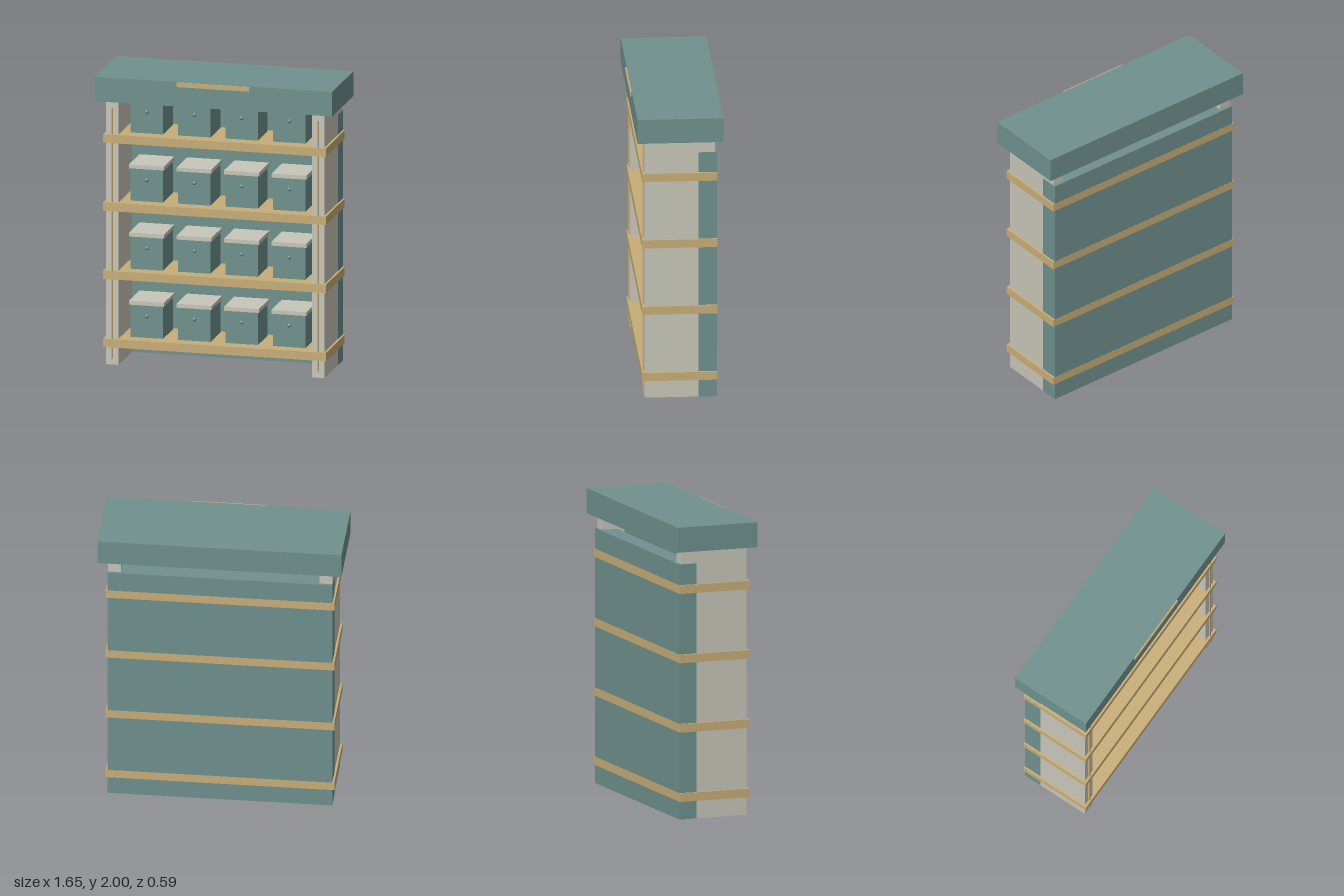
import * as THREE from 'three';

const teal = new THREE.MeshStandardMaterial({ name: 'teal paint', color: 0x6f918e });
const tan = new THREE.MeshStandardMaterial({ name: 'tan wood', color: 0xc8ae78 });
const cream = new THREE.MeshStandardMaterial({ name: 'cream paint', color: 0xc8c6b9 });

// Box given by its lower and upper limits on each axis
function slab(name, material, [x0, x1], [y0, y1], [z0, z1]) {
  const mesh = new THREE.Mesh(new THREE.BoxGeometry(x1 - x0, y1 - y0, z1 - z0), material);
  mesh.position.set((x0 + x1) / 2, (y0 + y1) / 2, (z0 + z1) / 2);
  mesh.name = name;
  return mesh;
}

// Storage bin with overhanging lid and round knob, standing on its own y = 0
function createBin() {
  const bin = new THREE.Group();
  bin.name = 'bin';
  const knob = new THREE.Mesh(new THREE.SphereGeometry(0.014, 16, 10), teal);
  knob.name = 'binKnob';
  knob.position.set(0, 0.15, 0.157);
  bin.add(
    slab('binBody', teal, [-0.112, 0.112], [0, 0.225], [-0.107, 0.155]),
    slab('binLid', cream, [-0.121, 0.121], [0.225, 0.252], [-0.117, 0.165]),
    knob
  );
  return bin;
}

export function createModel() {
  const model = new THREE.Group();
  model.name = 'shelvingUnit';

  // Carcass: back panel and overhanging top
  model.add(
    slab('backPanel', teal, [-0.758, 0.758], [0, 1.737], [-0.257, -0.132]),
    slab('topCanopy', teal, [-0.823, 0.823], [1.83, 2], [-0.293, 0.283]),
    slab('canopyPlate', tan, [-0.253, 0.253], [1.967, 1.998], [0.283, 0.293])
  );

  // Side walls with a thin trim strip on the front edge
  for (const side of [-1, 1]) {
    const wall = slab('sideWall', cream, [-0.043, 0.043], [0, 1.823], [-0.241, 0.231]);
    wall.position.x = side * 0.713;
    const trim = slab('wallTrim', tan, [-0.006, 0.006], [0.045, 1.78], [0.231, 0.241]);
    trim.position.x = side * 0.713;
    model.add(wall, trim);
  }

  // Four shelves, each carrying four bins
  for (const top of [0.18, 0.652, 1.124, 1.596]) {
    model.add(slab('shelf', tan, [-0.771, 0.771], [top - 0.058, top], [-0.2575, 0.248]));
    for (const x of [-0.493, -0.164, 0.164, 0.493]) {
      const bin = createBin();
      bin.position.set(x, top, 0);
      model.add(bin);
    }
  }
  return model;
}
